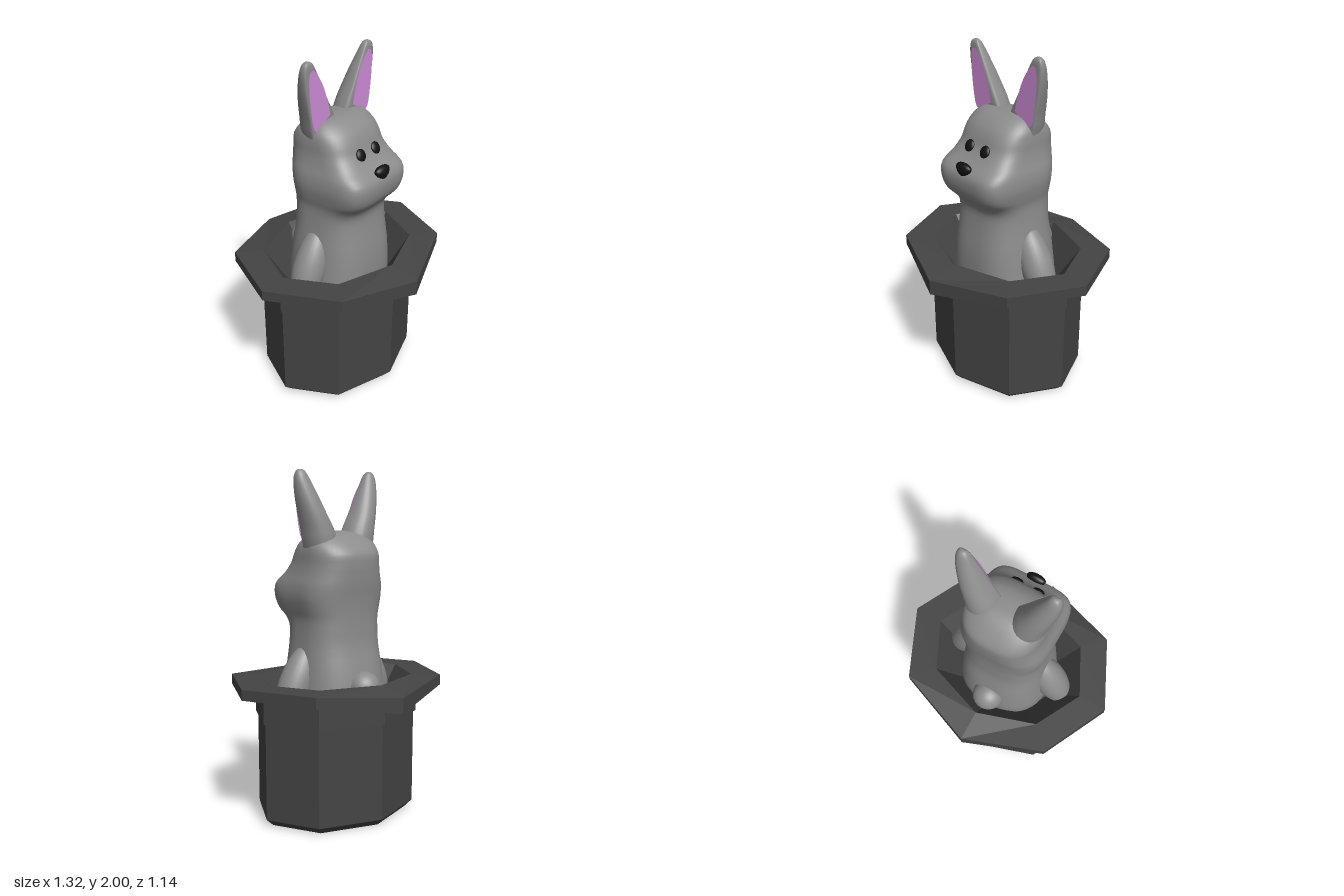
import * as THREE from 'three';

const mat = (color, extra = {}) => new THREE.MeshStandardMaterial({ color, ...extra });
const fur = mat(0x8c8c8c);
const pink = mat(0xd08cd8, { side: THREE.DoubleSide });
const black = mat(0x111111);
const felt = mat(0x444444, { flatShading: true });

function add(parent, name, geometry, material) {
  const mesh = new THREE.Mesh(geometry, material);
  mesh.name = name;
  parent.add(mesh);
  return mesh;
}

// Joins equal rings of points [x, y, z] into a skin; rings run upwards on the outside
function skin(rings) {
  const n = rings[0].length;
  const index = [];
  for (let j = 0; j < rings.length - 1; j++) {
    for (let i = 0; i < n; i++) {
      const a = j * n + i, b = j * n + (i + 1) % n;
      index.push(a, a + n, b, b, a + n, b + n);
    }
  }
  const geometry = new THREE.BufferGeometry();
  geometry.setAttribute('position', new THREE.Float32BufferAttribute(rings.flat(2), 3));
  geometry.setIndex(index);
  geometry.computeVertexNormals();
  return geometry;
}

// Octagonal ring; drop lowers the front and back corners
function octagon([rx, rz, y, drop = 0]) {
  return Array.from({ length: 8 }, (_, i) => {
    const a = i * Math.PI / 4;
    return [rx * Math.cos(a), y - (i % 4 === 2 ? drop : 0), rz * Math.sin(a)];
  });
}

// Smooth skin through stations [y, centreX, halfWidth, midZ, frontZ, backZ, frontPower, backPower]
function loft(stations, steps, segments) {
  const curve = (p0, p1, p2, p3, t) => 0.5 * (2 * p1 + (p2 - p0) * t
    + (2 * p0 - 5 * p1 + 4 * p2 - p3) * t * t + (3 * p1 - p0 - 3 * p2 + p3) * t * t * t);
  const last = stations.length - 1;
  const rings = [];
  for (let k = 0; k <= last * steps; k++) {
    const s = Math.min(Math.floor(k / steps), last - 1), t = k / steps - s;
    const pick = i => stations[Math.min(Math.max(i, 0), last)];
    const [y, cx, hw, mid, front, back, nf, nb] = stations[0].map((_, c) =>
      curve(pick(s - 1)[c], pick(s)[c], pick(s + 1)[c], pick(s + 2)[c], t));
    rings.push(Array.from({ length: segments }, (_, i) => {
      const a = i * 2 * Math.PI / segments, c = Math.cos(a), sn = Math.sin(a);
      const p = 2 / (sn >= 0 ? nf : nb);
      const depth = sn >= 0 ? front - mid : mid - back;
      return [cx + hw * Math.sign(c) * Math.abs(c) ** p, y,
        mid + depth * Math.sign(sn) * Math.abs(sn) ** p];
    }));
  }
  return skin(rings);
}

function buildHat() {
  const hat = new THREE.Group();
  hat.name = 'hat';
  const part = (name, rings) => add(hat, name, skin(rings.map(octagon)), felt);
  part('crown', [[0, 0, 0], [0.465, 0.375, 0], [0.508, 0.412, 0.04], [0.508, 0.412, 0.62]]);
  part('hatBand', [[0.49, 0.4, 0.6], [0.52, 0.427, 0.6], [0.52, 0.427, 0.77]]);
  // Brim continues into the lining and its floor
  part('brim', [[0.5, 0.41, 0.76], [0.66, 0.57, 0.76, 0.07], [0.66, 0.57, 0.82, 0.04],
    [0.49, 0.397, 0.82], [0.3, 0.24, 0.55], [0, 0, 0.55]]);
  return hat;
}

function buildEar(side) {
  const ear = new THREE.Group();
  ear.name = side > 0 ? 'leftEar' : 'rightEar';
  const station = (y, inner, outer, front, back) =>
    [y, side * (inner + outer) / 2, (outer - inner) / 2, 0, front, back, 4, 2.2];
  add(ear, 'earShell', loft([
    station(1.5, 0.05, 0.21, 0.02, -0.12),
    station(1.6, 0.035, 0.235, 0.022, -0.125),
    station(1.67, 0.055, 0.247, 0.024, -0.118),
    station(1.76, 0.103, 0.267, 0.024, -0.1),
    station(1.85, 0.148, 0.284, 0.024, -0.075),
    station(1.93, 0.19, 0.291, 0.023, -0.048),
    station(1.975, 0.215, 0.284, 0.021, -0.03),
    station(1.995, 0.233, 0.27, 0.013, -0.015),
    station(2.0, 0.25, 0.25, 0, 0),
  ], 4, 28), fur);
  // Pink inner ear on the flat front
  const outline = new THREE.Shape();
  outline.moveTo(side * 0.213, 1.61);
  outline.lineTo(side * 0.1, 1.675);
  outline.splineThru([[0.118, 1.75], [0.155, 1.85], [0.205, 1.93], [0.24, 1.955], [0.262, 1.93],
    [0.267, 1.86], [0.256, 1.74], [0.237, 1.64], [0.213, 1.61]]
    .map(([x, y]) => new THREE.Vector2(side * x, y)));
  add(ear, 'innerEar', new THREE.ShapeGeometry(outline, 4), pink).position.z = 0.026;
  return ear;
}

function buildRabbit() {
  const rabbit = new THREE.Group();
  rabbit.name = 'rabbit';

  // Body, muzzle and forehead in one skin
  add(rabbit, 'bodyAndHead', loft([
    [0.56, 0, 0, 0, 0, 0, 2.5, 2.5],
    [0.57, 0, 0.26, 0, 0.24, -0.25, 2.8, 2.4],
    [0.8, 0, 0.268, 0, 0.27, -0.255, 2.8, 2.4],
    [1.0, 0, 0.248, 0, 0.25, -0.215, 2.8, 2.5],
    [1.11, 0, 0.24, 0, 0.242, -0.207, 3, 2.6],
    [1.17, 0, 0.241, 0, 0.268, -0.206, 3.6, 2.6],
    [1.22, 0, 0.252, 0, 0.312, -0.207, 4.5, 2.6],
    [1.29, 0, 0.264, 0, 0.33, -0.212, 5, 2.6],
    [1.36, 0, 0.26, 0, 0.32, -0.221, 5, 2.6],
    [1.42, 0, 0.244, 0, 0.255, -0.226, 4.2, 2.6],
    [1.48, 0, 0.233, 0, 0.208, -0.229, 3.5, 2.6],
    [1.54, 0, 0.23, 0, 0.186, -0.222, 3, 2.6],
    [1.595, 0, 0.22, 0, 0.155, -0.175, 2.5, 2.5],
    [1.64, 0, 0.18, 0, 0.1, -0.115, 2.3, 2.3],
    [1.658, 0, 0.12, 0, 0.05, -0.06, 2, 2],
    [1.662, 0, 0, 0, 0, 0, 2, 2],
  ], 3, 48), fur);

  const ball = () => new THREE.SphereGeometry(1, 28, 18);
  for (const side of [1, -1]) {
    rabbit.add(buildEar(side));
    const label = side > 0 ? 'left' : 'right';

    const arm = add(rabbit, label + 'Arm', ball(), fur);
    arm.scale.set(0.1, 0.24, 0.097);
    arm.position.set(side * 0.28, 0.8, 0.017);
    arm.rotation.z = side * 0.436;

    const eye = add(rabbit, label + 'Eye', ball(), black);
    eye.scale.set(0.035, 0.037, 0.016);
    eye.position.set(side * 0.065, 1.475, 0.21);
    eye.rotation.x = -0.42;
  }

  // Nose narrows towards its lower end
  const nose = ball();
  const p = nose.attributes.position;
  for (let i = 0; i < p.count; i++) p.setX(i, p.getX(i) * (1 + 0.35 * p.getY(i)));
  nose.computeVertexNormals();
  const noseMesh = add(rabbit, 'nose', nose, black);
  noseMesh.scale.set(0.055, 0.04, 0.03);
  noseMesh.position.set(0, 1.38, 0.306);

  const tail = add(rabbit, 'tail', ball(), fur);
  tail.scale.setScalar(0.095);
  tail.position.set(0, 0.78, -0.25);
  return rabbit;
}

export function createModel() {
  const model = new THREE.Group();
  model.name = 'rabbitInHat';
  model.add(buildHat(), buildRabbit());
  return model;
}
